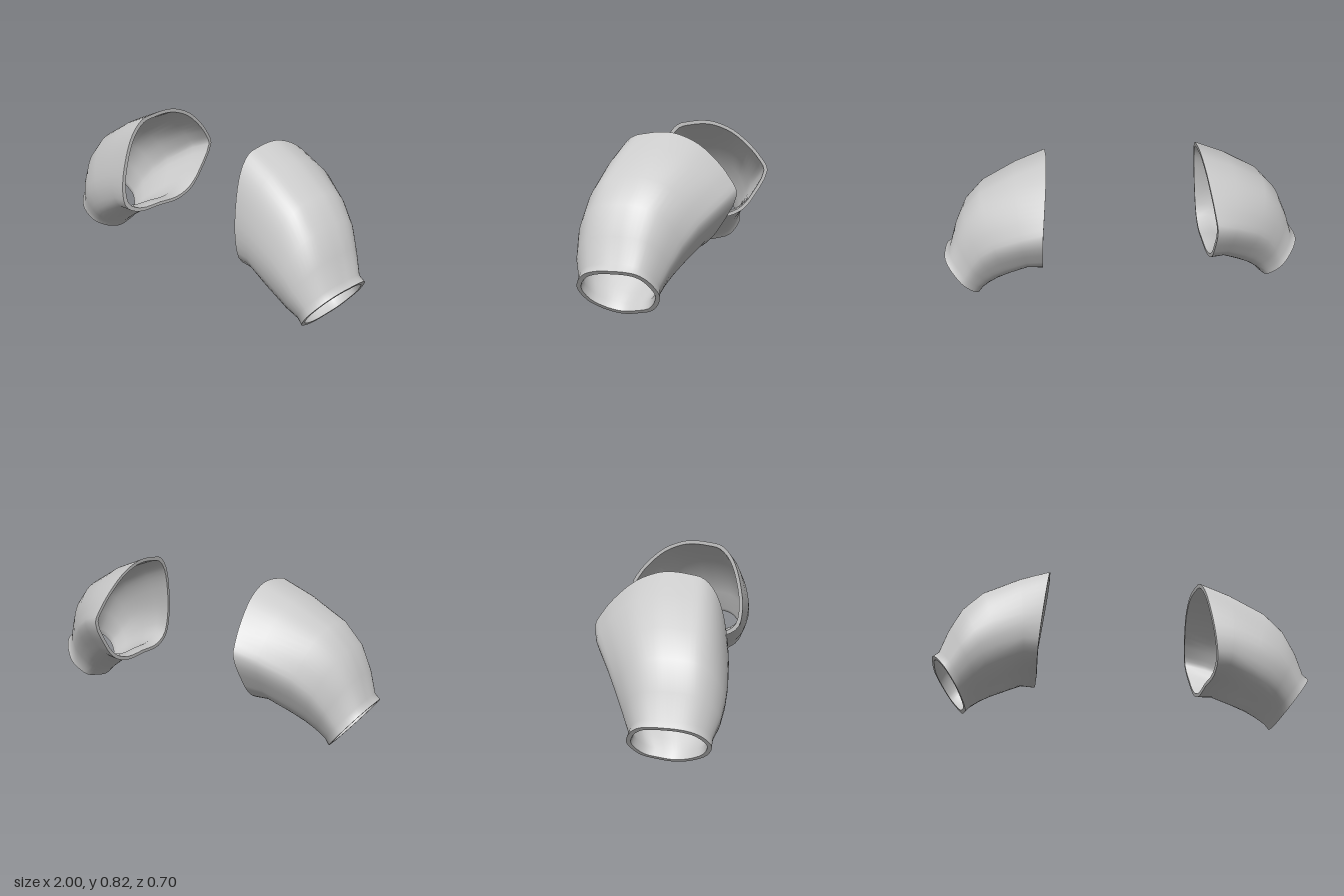
import * as THREE from 'three';

// Cross-section outlines, starting at the top and running forward.
// Each point is [depth -1..1, height 0..1].
const SHOULDER = [[0.13, 1], [0.4, 0.985], [0.63, 0.95], [0.81, 0.83], [0.93, 0.63], [1, 0.33],
  [0.94, 0.12], [0.69, 0.02], [0.22, 0.02], [-0.2, 0.02], [-0.5, 0.085], [-0.66, 0.17],
  [-0.76, 0.25], [-1, 0.52], [-0.88, 0.65], [-0.7, 0.77], [-0.4, 0.91], [-0.08, 0.985]];
const CUFF = [[-0.05, 1], [0.25, 0.99], [0.5, 0.95], [0.7, 0.88], [0.9, 0.73], [1, 0.54],
  [0.86, 0.27], [0.55, 0.1], [0.25, 0.02], [-0.02, 0], [-0.37, 0.05], [-0.7, 0.13],
  [-0.9, 0.3], [-1, 0.5], [-0.94, 0.68], [-0.8, 0.85], [-0.6, 0.96], [-0.3, 1]];

// Rings from shoulder to cuff: top x,y / bottom x,y / front z, back z / outline blend
const RINGS = [
  { top: [0.41, 0.82], bottom: [0.46, 0.215], z: [0.325, -0.35], blend: 0 },
  { top: [0.58, 0.75], bottom: [0.535, 0.21], z: [0.337, -0.315], blend: 0.15 },
  { top: [0.77, 0.64], bottom: [0.63, 0.14], z: [0.347, -0.225], blend: 0.45 },
  { top: [0.87, 0.53], bottom: [0.69, 0.1], z: [0.345, -0.17], blend: 0.65 },
  { top: [0.93, 0.4], bottom: [0.74, 0.065], z: [0.33, -0.125], blend: 0.8 },
  { top: [0.97, 0.28], bottom: [0.785, 0.03], z: [0.3, -0.088], blend: 1 },
  { top: [1, 0.255], bottom: [0.81, 0], z: [0.3, -0.095], blend: 1 },
];
const SEGMENTS = 54;
const WALL = 0.021;

const material = new THREE.MeshStandardMaterial({ color: 0xcccccc });

function ringPoints(ring, inset) {
  const outline = SHOULDER.map(([z, v], i) => new THREE.Vector3(
    THREE.MathUtils.lerp(z, CUFF[i][0], ring.blend),
    THREE.MathUtils.lerp(v, CUFF[i][1], ring.blend), 0));
  const curve = new THREE.CatmullRomCurve3(outline, true, 'centripetal');
  const [tx, ty] = ring.top, [bx, by] = ring.bottom, [front, back] = ring.z;
  const height = Math.hypot(tx - bx, ty - by), half = (front - back) / 2;
  const points = [];
  for (let j = 0; j < SEGMENTS; j++) {
    const p = curve.getPoint(j / SEGMENTS);
    const z = p.x * (1 - inset / half);
    const v = 0.5 + (p.y - 0.5) * (1 - 2 * inset / height);
    const lip = ring.blend === 0 ? 0.015 * z * z : 0;
    points.push([bx + (tx - bx) * v + lip, by + (ty - by) * v, (front + back) / 2 + half * z]);
  }
  return points;
}

// Skin a list of closed rings; side -1 mirrors it across x
function loft(name, rings, side) {
  const positions = [], index = [];
  rings.forEach(r => r.forEach(([x, y, z]) => positions.push(side * x, y, z)));
  for (let i = 0; i < rings.length - 1; i++) {
    for (let j = 0; j < SEGMENTS; j++) {
      const k = (j + 1) % SEGMENTS;
      const a = i * SEGMENTS + j, b = i * SEGMENTS + k;
      const c = b + SEGMENTS, d = a + SEGMENTS;
      if (side > 0) index.push(a, b, c, a, c, d);
      else index.push(a, c, b, a, d, c);
    }
  }
  const geometry = new THREE.BufferGeometry();
  geometry.setAttribute('position', new THREE.Float32BufferAttribute(positions, 3));
  geometry.setIndex(index);
  geometry.computeVertexNormals();
  const mesh = new THREE.Mesh(geometry, material);
  mesh.name = name;
  return mesh;
}

function createSleeve(name, side) {
  const sleeve = new THREE.Group();
  sleeve.name = name;
  const outer = RINGS.map(r => ringPoints(r, 0));
  const inner = RINGS.map(r => ringPoints(r, WALL));
  const last = RINGS.length - 1;
  sleeve.add(
    loft('outerShell', outer, side),
    loft('cuffRim', [outer[last], inner[last]], side),
    loft('lining', [...inner].reverse(), side),
    loft('shoulderRim', [inner[0], outer[0]], side));
  return sleeve;
}

export function createModel() {
  const group = new THREE.Group();
  group.name = 'sleeves';
  group.add(createSleeve('leftSleeve', 1), createSleeve('rightSleeve', -1));
  return group;
}
